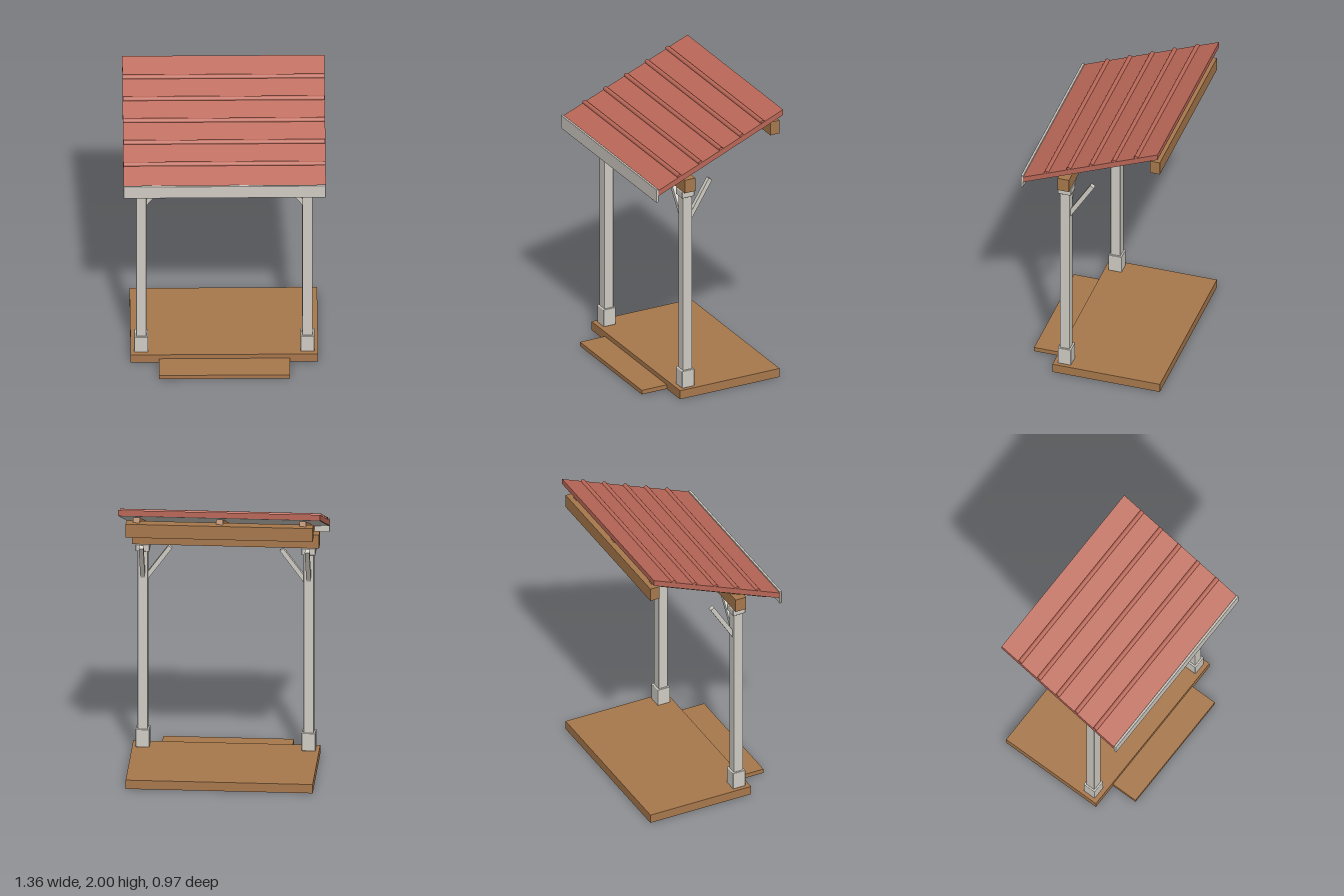
import * as THREE from 'three';
import { RoundedBoxGeometry } from 'three/addons/geometries/RoundedBoxGeometry.js';

const SLOPE = Math.PI / 8;
const RISE = Math.tan(SLOPE);
const HALF_ROOF = 0.68;
const BACK = -0.483;
const EAVE = 0.466;
const roofY = (z) => 2 + (BACK - z) * RISE; // top surface of the roof

export function createModel() {
  const group = new THREE.Group();
  group.name = 'porch';

  const material = (name, color) => {
    const m = new THREE.MeshStandardMaterial({ color });
    m.name = name;
    return m;
  };
  const wood = material('brown wood', 0xa8784c);
  const paint = material('pale grey paint', 0xd0ccc4);
  const red = material('red roofing', 0xbb6858);

  const add = (name, geometry, mat, x = 0, y = 0, z = 0) => {
    const mesh = new THREE.Mesh(geometry, mat);
    mesh.name = name;
    mesh.position.set(x, y, z);
    group.add(mesh);
    return mesh;
  };

  // Box given by its x, y and z ranges; bevel softens the edges
  const block = (name, mat, [x0, x1], [y0, y1], [z0, z1], bevel = 0) => {
    const size = [x1 - x0, y1 - y0, z1 - z0];
    const geometry = bevel
      ? new RoundedBoxGeometry(...size, 2, bevel)
      : new THREE.BoxGeometry(...size);
    return add(name, geometry, mat, (x0 + x1) / 2, (y0 + y1) / 2, (z0 + z1) / 2);
  };

  // Square bar between two points
  const bar = (name, mat, a, b, width) => {
    const dir = b.clone().sub(a);
    const mid = a.clone().add(b).multiplyScalar(0.5);
    const mesh = add(name, new THREE.BoxGeometry(width, dir.length(), width), mat, mid.x, mid.y, mid.z);
    mesh.quaternion.setFromUnitVectors(new THREE.Vector3(0, 1, 0), dir.normalize());
    return mesh;
  };

  // Sloping sheet with plumb-cut ends, lying a given depth below the roof surface
  const sheet = (name, mat, top, bottom, inset) => {
    const front = EAVE - inset;
    const back = BACK + inset;
    const shape = new THREE.Shape([
      new THREE.Vector2(-front, roofY(front) - bottom),
      new THREE.Vector2(-back, roofY(back) - bottom),
      new THREE.Vector2(-back, roofY(back) - top),
      new THREE.Vector2(-front, roofY(front) - top),
    ]);
    const width = 2 * (HALF_ROOF - inset);
    const geometry = new THREE.ExtrudeGeometry(shape, { depth: width, bevelEnabled: false });
    geometry.translate(0, 0, -width / 2).rotateY(Math.PI / 2);
    return add(name, geometry, mat);
  };

  // Deck and step
  block('deck', wood, [-0.63, 0.63], [0, 0.063], [BACK, 0.275]);
  block('step', wood, [-0.44, 0.44], [0, 0.03], [0.275, 0.465]);

  // Posts with base, cap and two braces each
  const px = 0.559;
  const pz = 0.199;
  for (const [side, s] of [['left', 1], ['right', -1]]) {
    const x = s * px;
    const column = (name, half, y0, y1) =>
      block(side + name, paint, [x - half, x + half], [y0, y1], [pz - half, pz + half], 0.005);
    column('Post', 0.035, 0.063, 1.52);
    column('PostBase', 0.047, 0.063, 0.19);
    column('PostCap', 0.047, 1.468, 1.517);
    bar(side + 'InnerBrace', paint,
      new THREE.Vector3(s * 0.54, 1.266, pz), new THREE.Vector3(s * 0.375, 1.493, pz), 0.031);
    bar(side + 'RearBrace', paint,
      new THREE.Vector3(x, 1.282, 0.179), new THREE.Vector3(x, 1.552, 0.013), 0.031);
  }

  // Beams across the posts and along the back
  block('frontBeam', wood, [-0.63, 0.63], [1.517, 1.613], [0.159, 0.239]);
  block('backBeam', wood, [-0.63, 0.63], [1.804, 1.9], [BACK, -0.413]);

  // Rafters
  for (const x of [-0.56, 0, 0.56]) {
    const rafter = add('rafter', new THREE.BoxGeometry(0.045, 0.047, 0.937), wood, x, 1.732, -0.012);
    rafter.rotation.x = SLOPE;
  }

  // Roof, its pale underside and the raised ribs
  sheet('roof', red, 0, 0.04, 0);
  sheet('roofUnderside', paint, 0.038, 0.043, 0.003);
  for (let i = 0; i < 5; i++) {
    const z = 0.303 - i * 0.1583;
    const rib = add('roofRib', new THREE.CylinderGeometry(0.016, 0.016, 1.356, 12), red, 0, roofY(z), z);
    rib.rotation.z = Math.PI / 2;
  }

  // Fascia board along the eave
  block('fascia', paint, [-HALF_ROOF, HALF_ROOF], [1.52, 1.617], [0.466, 0.483], 0.004);

  return group;
}
